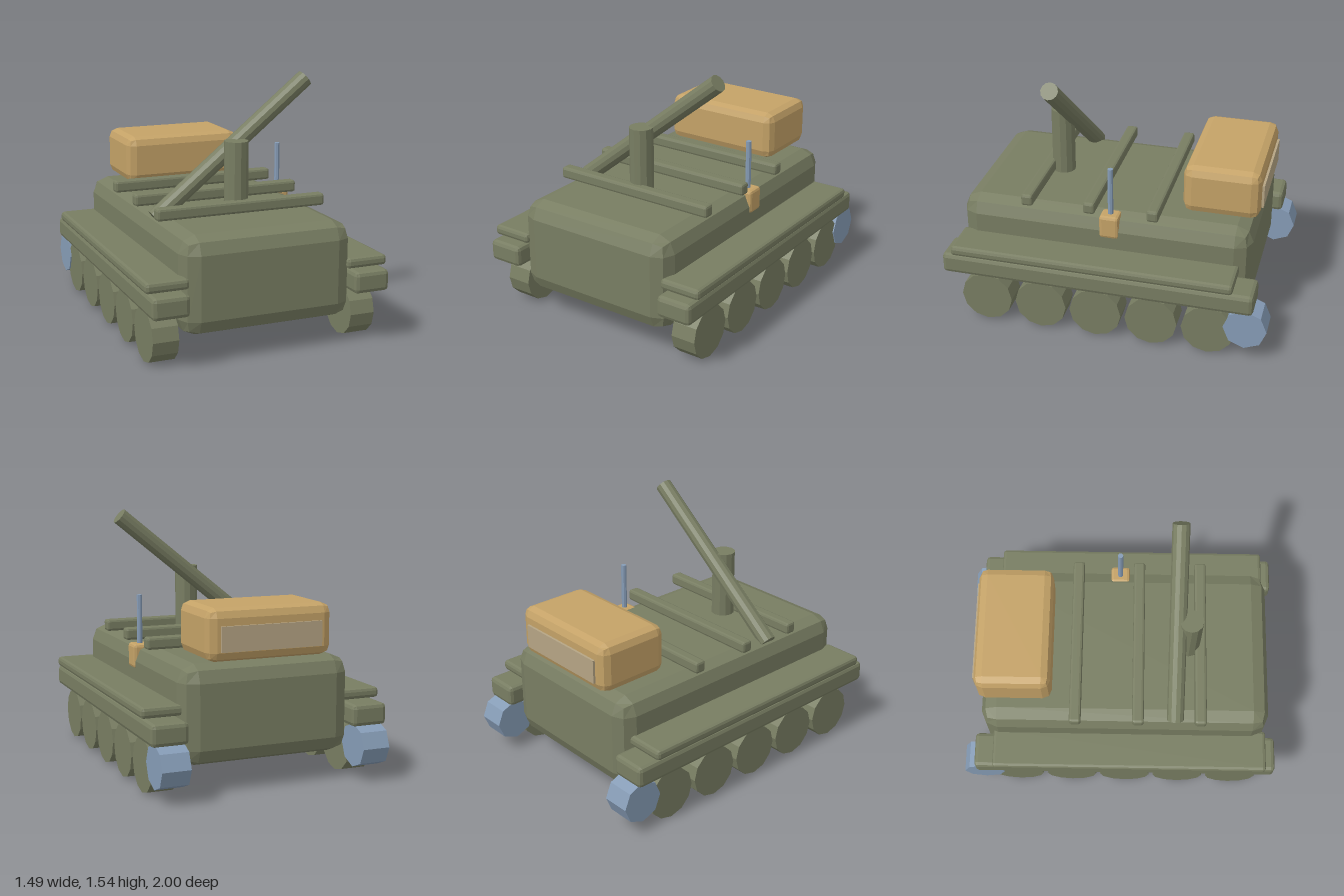
import * as THREE from 'three';
import { RoundedBoxGeometry } from 'three/addons/geometries/RoundedBoxGeometry.js';

const material = (name, color) => {
  const m = new THREE.MeshStandardMaterial({ color });
  m.name = name;
  return m;
};

// Faceted shading through per-face normals
function facet(geometry) {
  const g = geometry.index ? geometry.toNonIndexed() : geometry;
  g.computeVertexNormals();
  return g;
}

export function createModel() {
  const olive = material('olive', 0x787d62);
  const tan = material('tan', 0xc4a267);
  const steel = material('steelBlue', 0x869cb6);
  const sand = material('sand', 0xb5a484);
  const model = new THREE.Group();
  model.name = 'armouredVehicle';

  function add(name, geometry, mat, x, y, z) {
    const mesh = new THREE.Mesh(facet(geometry), mat);
    mesh.name = name;
    mesh.position.set(x, y, z);
    model.add(mesh);
    return mesh;
  }

  // Bevelled box given by its limits on each axis
  function box(name, mat, [x0, x1], [y0, y1], [z0, z1], bevel) {
    return add(name, new RoundedBoxGeometry(x1 - x0, y1 - y0, z1 - z0, 1, bevel), mat,
      (x0 + x1) / 2, (y0 + y1) / 2, (z0 + z1) / 2);
  }

  const cylinder = (r, length, sides) => new THREE.CylinderGeometry(r, r, length, sides);

  // Hull
  box('hull', olive, [-0.525, 0.525], [0.16, 0.74], [-0.855, 0.94], 0.1);

  // Running gear on both sides
  for (const [side, s] of [['left', 1], ['right', -1]]) {
    const span = (a, b) => (s > 0 ? [a, b] : [-b, -a]);
    box(side + 'TrackGuard', olive, span(0.508, 0.73), [0.32, 0.45], [-0.912, 1], 0.025);
    box(side + 'Fender', olive, span(0.488, 0.747), [0.457, 0.52], [-0.79, 0.935], 0.02);
    for (let i = 0; i < 5; i++) {
      add(side + 'Wheel' + (i + 1), cylinder(0.16, 0.155, 12).rotateZ(Math.PI / 2), olive,
        s * 0.617, 0.16, 0.735 - i * 0.345);
    }
    add(side + 'Sprocket', cylinder(0.13, 0.17, 8).rotateZ(Math.PI / 2), steel, s * 0.617, 0.206, -0.867);
  }

  // Deck slats
  for (const z of [0.508, 0.122, -0.265]) {
    box('deckSlat', olive, [-0.535, 0.535], [0.747, 0.82], [z - 0.036, z + 0.036], 0.015);
  }

  // Gun post and slanted barrel
  add('gunPost', cylinder(0.073, 0.44, 12), olive, 0, 0.943, 0.435);
  const barrel = add('barrel', cylinder(0.053, 1.24, 12), olive, 0, 1.11, 0.355);
  barrel.rotation.z = -0.893;

  // Stowage box with rear panel
  box('stowageBox', tan, [-0.385, 0.385], [0.753, 1.055], [-0.872, -0.41], 0.055);
  add('rearPanel', new THREE.BoxGeometry(0.62, 0.145, 0.018), sand, 0, 0.885, -0.877);

  // Antenna and its mount
  box('antennaMount', tan, [0.425, 0.535], [0.595, 0.742], [-0.06, 0.06], 0.018);
  add('antenna', cylinder(0.017, 0.32, 8), steel, 0.477, 0.88, 0);

  return model;
}
